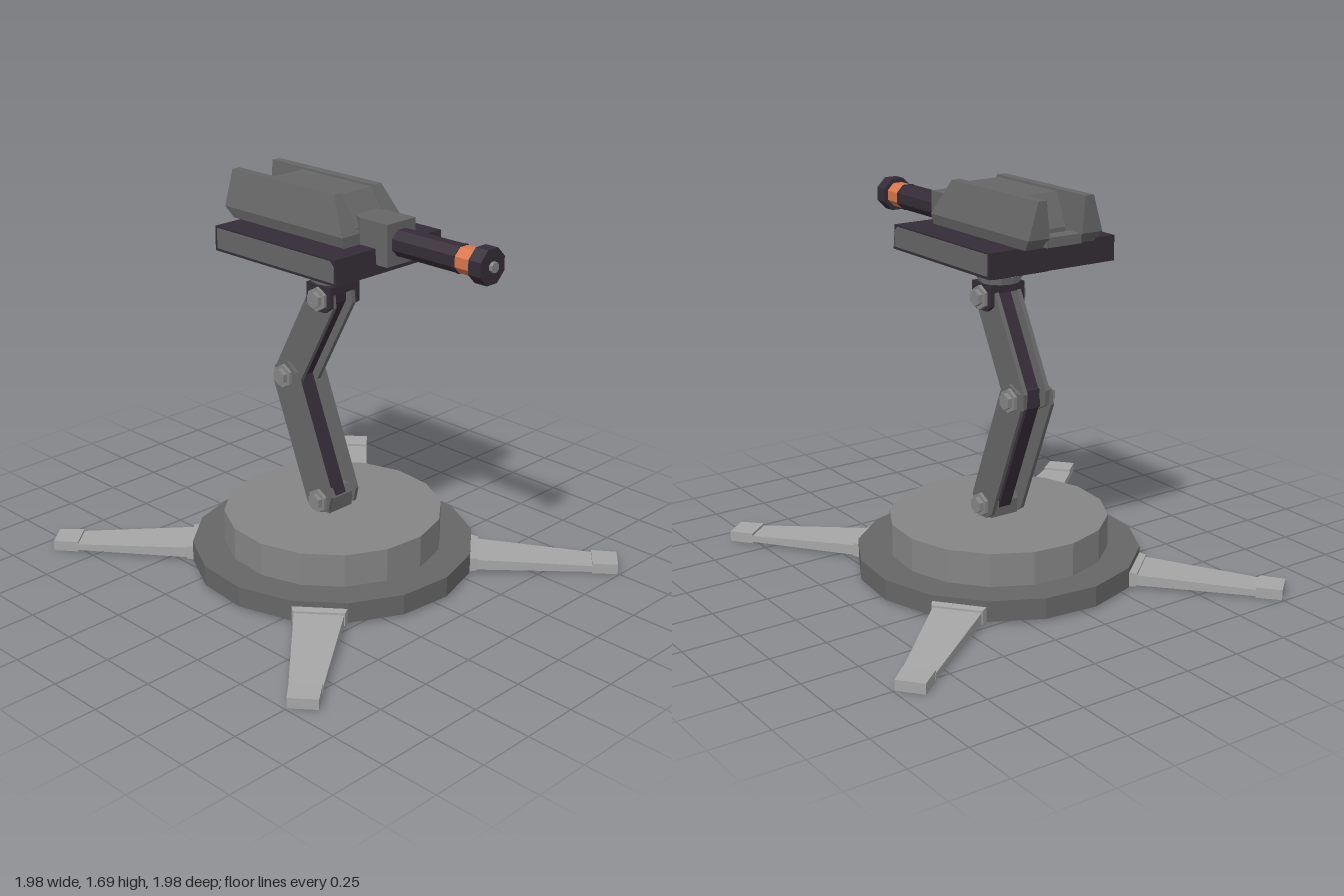
import * as THREE from 'three';

const mat = (name, color) => Object.assign(new THREE.MeshStandardMaterial({ color }), { name });

export function createModel() {
  const root = new THREE.Group();
  root.name = 'turret';
  const gunmetal = mat('gunmetal', 0x666666);
  const steel = mat('steel', 0x858585);
  const pale = mat('pale grey', 0xa6a6a6);
  const dark = mat('dark plum', 0x342c36);
  const orange = mat('orange', 0xd9764c);

  // Faceted mesh
  function add(name, geo, material, parent = root) {
    const g = geo.index ? geo.toNonIndexed() : geo;
    g.computeVertexNormals();
    const m = new THREE.Mesh(g, material);
    m.name = name;
    parent.add(m);
    return m;
  }
  // Outline in x,y extruded between z0 and z1; either may be a function of y
  function slab(points, z0, z1) {
    const shape = new THREE.Shape(points.map(p => new THREE.Vector2(...p)));
    const g = new THREE.ExtrudeGeometry(shape, { depth: 1, bevelEnabled: false });
    const p = g.attributes.position;
    const at = (f, y) => (typeof f === 'function' ? f(y) : f);
    for (let i = 0; i < p.count; i++)
      p.setZ(i, at(p.getZ(i) < 0.5 ? z0 : z1, p.getY(i)));
    return g;
  }
  // Box along x whose two ends have their own bottom, top and half width
  function taper(x0, a, x1, b) {
    const g = new THREE.BoxGeometry(1, 1, 1);
    const p = g.attributes.position;
    for (let i = 0; i < p.count; i++) {
      const e = p.getX(i) < 0 ? a : b;
      p.setXYZ(i, p.getX(i) < 0 ? x0 : x1, p.getY(i) < 0 ? e[0] : e[1], Math.sign(p.getZ(i)) * e[2]);
    }
    return g;
  }
  // Rectangular frustum: [xmin, xmax, half z] at the bottom and at the top
  function frustum(y0, a, y1, b) {
    const g = new THREE.BoxGeometry(1, 1, 1);
    const p = g.attributes.position;
    for (let i = 0; i < p.count; i++) {
      const low = p.getY(i) < 0, e = low ? a : b;
      p.setXYZ(i, p.getX(i) < 0 ? e[0] : e[1], low ? y0 : y1, Math.sign(p.getZ(i)) * e[2]);
    }
    return g;
  }
  const disc = (y0, y1, r0, r1, n) =>
    new THREE.CylinderGeometry(r1, r0, y1 - y0, n).translate(0, (y0 + y1) / 2, 0);

  // Base discs
  const twist = 0.1;
  add('baseDisc', disc(0.01, 0.1, 0.615, 0.615, 16), gunmetal).rotation.y = twist;
  add('upperDisc', disc(0.1, 0.245, 0.475, 0.475, 16), steel).rotation.y = twist;

  // Four splayed legs
  for (let i = 0; i < 4; i++) {
    const leg = new THREE.Group();
    leg.name = 'leg' + (i + 1);
    leg.rotation.y = 0.695 + i * Math.PI / 2;
    add('legClamp', taper(0.56, [0.008, 0.08, 0.125], 0.635, [0.012, 0.07, 0.107]), pale, leg);
    add('legBeam', taper(0.62, [0.015, 0.062, 0.104], 1.14, [0.008, 0.036, 0.066]), pale, leg);
    add('footPad', taper(1.13, [0, 0.047, 0.065], 1.24, [0, 0.045, 0.061]), pale, leg);
    root.add(leg);
  }

  // Jointed arm
  const foot = [0, 0.3], elbow = [-0.21, 0.82], wrist = [0, 1.215];
  function link(name, a, b, w, z0, z1, material) {
    const L = Math.hypot(b[0] - a[0], b[1] - a[1]), e = 0.055, c = w * 0.5;
    const pts = [[-e, -c], [0, -w], [L, -w], [L + e, -c], [L + e, c], [L, w], [0, w], [-e, c]];
    const m = add(name, slab(pts, z0, z1), material);
    m.position.set(a[0], a[1], 0);
    m.rotation.z = Math.atan2(b[1] - a[1], b[0] - a[0]);
  }
  for (const s of [-1, 1]) {
    const span = (i, o) => (s > 0 ? [i, o] : [-o, -i]);
    link('lowerArmPlate', foot, elbow, 0.077, ...span(0.069, 0.085), gunmetal);
    link('upperArmPlate', elbow, wrist, 0.075, ...span(0.046, 0.066), gunmetal);
  }
  link('lowerArmCore', foot, elbow, 0.05, -0.03, 0.03, dark);
  link('upperArmCore', elbow, wrist, 0.05, -0.03, 0.03, dark);

  // Hinge bolts
  for (const [x, y] of [foot, elbow, wrist])
    for (const [r, len] of [[0.028, 0.18], [0.053, 0], [0.036, 0]]) {
      const name = len ? 'hingePin' : 'hingeBolt';
      const zs = len ? [0] : [-1, 1];
      for (const s of zs) {
        const depth = len || (r > 0.05 ? 0.02 : 0.04);
        const m = add(name, new THREE.CylinderGeometry(r, r, depth, 6).rotateX(Math.PI / 2), steel);
        m.position.set(x, y, s * (r > 0.05 ? 0.09 : 0.1));
      }
    }

  // Brackets at both ends of the arm
  add('baseBracket', slab([[-0.045, 0.24], [0.045, 0.24], [0.05, 0.31], [0.03, 0.345], [-0.03, 0.345], [-0.05, 0.31]], -0.068, 0.068), gunmetal);
  const fork = [[-0.035, 1.16], [0.035, 1.16], [0.07, 1.185], [0.07, 1.275], [-0.07, 1.275], [-0.07, 1.185]];
  add('forkCheek', slab(fork, 0.067, 0.085), dark);
  add('forkCheek', slab(fork, -0.085, -0.067), dark);
  add('forkBridge', new THREE.BoxGeometry(0.14, 0.035, 0.16).translate(0, 1.257, 0), dark);
  add('swivelCollar', disc(1.275, 1.31, 0.085, 0.105, 12), steel).position.x = -0.01;
  add('swivelNeck', disc(1.31, 1.33, 0.095, 0.095, 12), steel).position.x = -0.01;

  // Gun platform
  add('platformUnderside', frustum(1.325, [-0.16, 0.17, 0.135], 1.385, [-0.26, 0.245, 0.18]), dark);
  add('platformBottom', frustum(1.378, [-0.28, 0.25, 0.18], 1.392, [-0.38, 0.325, 0.307]), dark);
  add('platform', frustum(1.39, [-0.38, 0.325, 0.307], 1.495, [-0.38, 0.315, 0.307]), dark);
  const panel = [[-0.365, 1.402], [0.312, 1.402], [0.312, 1.465], [0.29, 1.488], [-0.365, 1.488]];
  add('sidePanel', slab(panel, 0.306, 0.311), gunmetal);
  add('sidePanel', slab(panel, -0.311, -0.306), gunmetal);

  // Housing: flared armour cheeks around a sloped core
  const upper = [[-0.46, 1.54], [0.23, 1.54], [0.14, 1.69], [-0.46, 1.69]];
  const lower = [[-0.42, 1.495], [0.23, 1.495], [0.23, 1.54], [-0.46, 1.54]];
  const outer = y => (y > 1.53 ? 0.18 - (y - 1.54) * 0.3 : 0.168);
  const inner = y => 0.075 + (y - 1.495) * 0.1;
  for (const pts of [upper, lower]) {
    add('armourCheek', slab(pts, inner, outer), gunmetal);
    add('armourCheek', slab(pts, y => -outer(y), y => -inner(y)), gunmetal);
  }
  add('housingCore', slab([[-0.35, 1.49], [0.22, 1.49], [0.22, 1.56], [0.125, 1.68], [-0.275, 1.68], [-0.35, 1.55]], -0.098, 0.098), gunmetal);
  add('rearLip', new THREE.BoxGeometry(0.07, 0.04, 0.17).translate(-0.415, 1.52, 0), gunmetal);

  // Barrel block and barrel along +x
  add('barrelBlock', taper(0.17, [1.44, 1.605, 0.055], 0.23, [1.43, 1.605, 0.08]), gunmetal);
  add('barrelBlock', taper(0.23, [1.43, 1.605, 0.08], 0.38, [1.43, 1.605, 0.08]), gunmetal);
  const barrel = [
    ['barrel', 0.36, 0.695, 0.058, dark, 8],
    ['barrelBand', 0.695, 0.79, 0.056, orange, 8],
    ['bandRing', 0.688, 0.702, 0.06, dark, 8],
    ['muzzle', 0.785, 0.845, 0.076, dark, 8],
    ['muzzleTip', 0.84, 0.86, 0.022, steel, 8],
  ];
  for (const [name, x0, x1, r, material, n] of barrel) {
    const g = new THREE.CylinderGeometry(r, r, x1 - x0, n).rotateY(Math.PI / n).rotateZ(-Math.PI / 2);
    add(name, g, material).position.set((x0 + x1) / 2, 1.52, 0);
  }
  return root;
}
